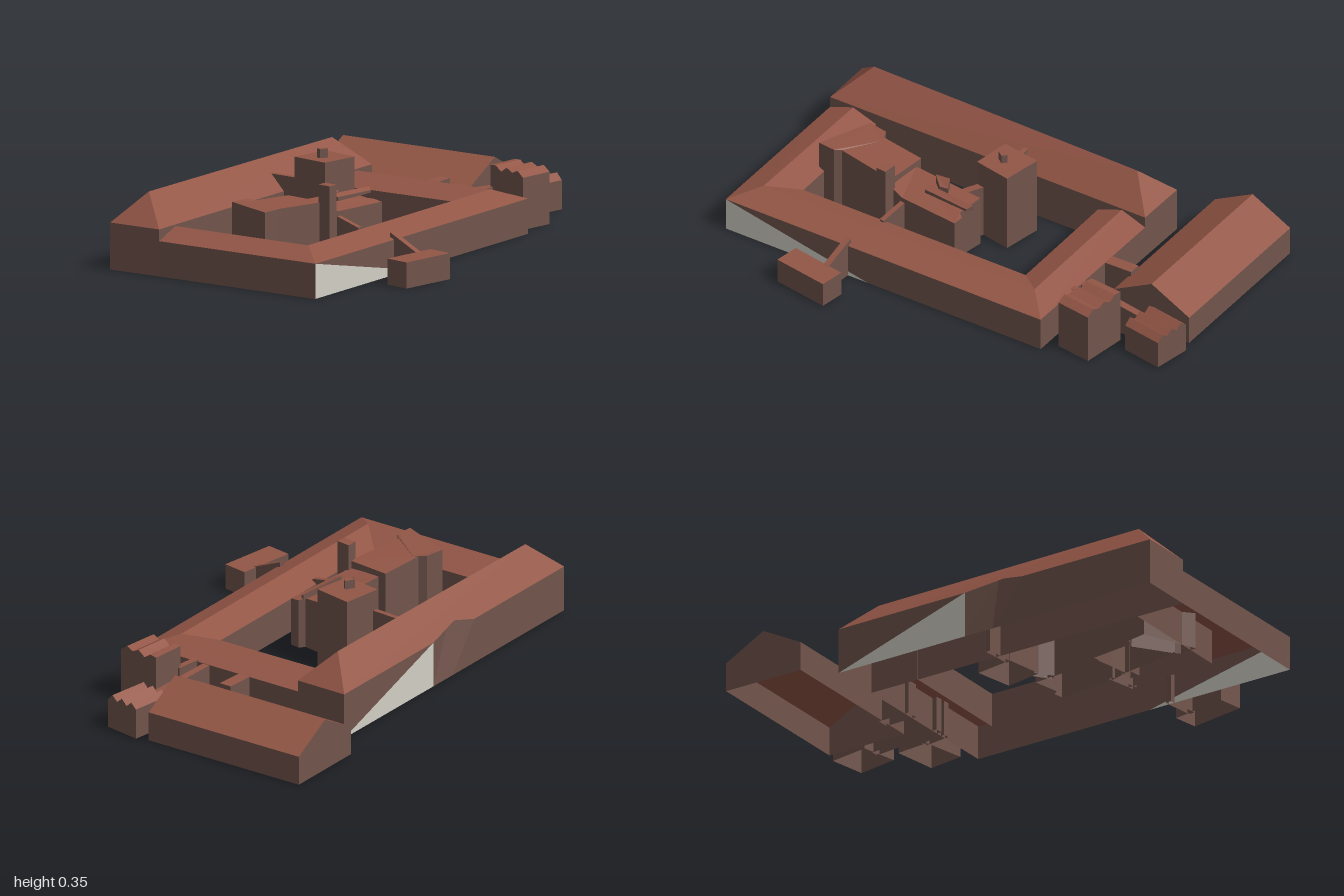
import * as THREE from 'three';

const material = (name, color) => {
  const m = new THREE.MeshStandardMaterial({ color, side: THREE.DoubleSide });
  m.name = name;
  return m;
};

export function createModel() {
  const model = new THREE.Group();
  const roofMat = material('roof red', 0x935646);
  const wallMat = material('wall brown', 0x71544b);
  const paleMat = material('pale plaster', 0xd2cfc5);

  // Flat-shaded mesh from convex polygons, each a list of [x, y, z]
  function faces(name, mat, polys, parent = model) {
    const pos = [];
    for (const p of polys)
      for (let i = 1; i < p.length - 1; i++) pos.push(...p[0], ...p[i], ...p[i + 1]);
    const g = new THREE.BufferGeometry();
    g.setAttribute('position', new THREE.Float32BufferAttribute(pos, 3));
    g.computeVertexNormals();
    const mesh = new THREE.Mesh(g, mat);
    mesh.name = name;
    parent.add(mesh);
  }
  const group = (name) => {
    const g = new THREE.Group();
    g.name = name;
    model.add(g);
    return g;
  };
  const at = ([x, z], y = 0) => [x, y, z];
  const mix = (p, q, t) => p.map((v, i) => v + (q[i] - v) * t);

  // Open-bottomed block on a footprint listed clockwise from above;
  // h is one height or a height per corner
  function block(name, foot, h, base = 0) {
    const g = group(name);
    const hs = foot.map((_, i) => (Array.isArray(h) ? h[i] : h));
    const n = foot.length;
    faces(name + 'Walls', wallMat, foot.map((p, i) => {
      const j = (i + 1) % n, q = foot[j];
      return [at(q, base), at(p, base), at(p, hs[i]), at(q, hs[j])];
    }), g);
    const contour = foot.map(([x, z]) => new THREE.Vector2(x, z));
    const tris = THREE.ShapeUtils.triangulateShape(contour, []);
    faces(name + 'Top', roofMat, tris.map((t) => {
      const [a, b, c] = t.map((k) => foot[k]);
      const up = (b[0] - a[0]) * (c[1] - a[1]) - (b[1] - a[1]) * (c[0] - a[0]) < 0;
      const order = up ? t : [t[0], t[2], t[1]];
      return order.map((k) => at(foot[k], hs[k]));
    }), g);
  }

  // Thin passage between two points, height running from h0 to h1
  function passage(name, p, q, width, h0, h1) {
    const dx = q[0] - p[0], dz = q[1] - p[1], l = Math.hypot(dx, dz);
    const ox = (-dz / l) * width / 2, oz = (dx / l) * width / 2;
    block(name, [[p[0] - ox, p[1] - oz], [q[0] - ox, q[1] - oz],
      [q[0] + ox, q[1] + oz], [p[0] + ox, p[1] + oz]], [h0, h1, h1, h0]);
  }

  // Block whose roof is folded into ridges running from left to right
  function ridgedBlock(name, [a, b, c, d], heights) {
    const g = group(name), walls = [], roof = [];
    const n = heights.length - 1;
    for (let i = 0; i < n; i++) {
      const [l0, l1] = [mix(a, d, i / n), mix(a, d, (i + 1) / n)];
      const [r0, r1] = [mix(b, c, i / n), mix(b, c, (i + 1) / n)];
      const [h0, h1] = [heights[i], heights[i + 1]];
      roof.push([at(l0, h0), at(l1, h1), at(r1, h1), at(r0, h0)]);
      walls.push([at(l0), at(l1), at(l1, h1), at(l0, h0)]);
      walls.push([at(r1), at(r0), at(r0, h0), at(r1, h1)]);
    }
    walls.push([at(b), at(a), at(a, heights[0]), at(b, heights[0])]);
    walls.push([at(d), at(c), at(c, heights[n]), at(d, heights[n])]);
    faces(name + 'Walls', wallMat, walls, g);
    faces(name + 'Roof', roofMat, roof, g);
  }

  // Tall back wing: hipped roof with a small notch in the rear eave
  const A = [-1, -0.14], B = [0.345, -0.575], E = [0.41, -0.37], F = [-0.93, 0.07];
  const R1 = [-0.86, -0.085], R2 = [0.275, -0.44];
  const K1 = [-0.2, -0.399], K2 = [-0.32, -0.33], K3 = [-0.45, -0.318], K2foot = [-0.32, -0.36];
  const eave = 0.18, top = 0.29;
  const back = group('backWing');
  faces('backWingRoof', roofMat, [
    [at(R1, top), at(R2, top), at(B, eave), at(K1, eave), at(K2, 0.212), at(K3, eave), at(A, eave)],
    [at(A, eave), at(F, eave), at(R1, top)],
    [at(F, eave), at(E, eave), at(R2, top), at(R1, top)],
    [at(E, eave), at(B, eave), at(R2, top)],
  ], back);
  faces('backWingWalls', wallMat, [
    [at(B), at(K1, eave), at(B, eave)],
    [at(K1), at(K2foot), at(K2, 0.212), at(K1, eave)],
    [at(K2foot), at(K3), at(K3, eave), at(K2, 0.212)],
    [at(K3), at(A), at(A, eave), at(K3, eave)],
    [at(A), at(F), at(F, eave), at(A, eave)],
    [at(F), at(E), at(E, eave), at(F, eave)],
    [at(E), at(B), at(B, eave), at(E, eave)],
  ], back);
  faces('backPalePanel', paleMat, [[at(B), at(K1), at(K1, eave)]], back);

  // Three lower wings closing the courtyard
  const outer = [F, [-0.71, 0.745], [0.63, 0.305], E];
  const ridge = [[-0.83, 0.04], [-0.645, 0.615], [0.505, 0.235], [0.31, -0.34]];
  const inner = [[-0.735, 0.005], [-0.575, 0.48], [0.37, 0.17], [0.21, -0.305]];
  const low = 0.135, peak = 0.175;
  ['leftWing', 'frontWing', 'rightWing'].forEach((name, i) => {
    const g = group(name), j = i + 1;
    const [p, q] = [outer[i], outer[j]];
    faces(name + 'Roof', roofMat, [
      [at(p, low), at(q, low), at(ridge[j], peak), at(ridge[i], peak)],
      [at(ridge[i], peak), at(ridge[j], peak), at(inner[j], low), at(inner[i], low)],
    ], g);
    const walls = [[at(inner[j]), at(inner[i]), at(inner[i], low), at(inner[j], low)]];
    if (name === 'frontWing') {
      const m = mix(p, q, 0.45);
      walls.push([at(m), at(q), at(q, low), at(p, low)]);
      faces('frontPalePanel', paleMat, [[at(p), at(m), at(p, low)]], g);
    } else walls.push([at(p), at(q), at(q, low), at(p, low)]);
    faces(name + 'Walls', wallMat, walls, g);
  });

  // Gabled barn
  const [b0, b1, b2, b3] = [[0.41, -0.705], [0.73, -0.81], [0.945, -0.155], [0.625, -0.05]];
  const g0 = mix(b0, b1, 0.5), g1 = mix(b3, b2, 0.5), be = 0.115, bt = 0.205;
  const barn = group('barn');
  faces('barnRoof', roofMat, [
    [at(b0, be), at(b3, be), at(g1, bt), at(g0, bt)],
    [at(g0, bt), at(g1, bt), at(b2, be), at(b1, be)],
  ], barn);
  faces('barnWalls', wallMat, [
    [at(b1), at(b0), at(b0, be), at(g0, bt), at(b1, be)],
    [at(b3), at(b2), at(b2, be), at(g1, bt), at(b3, be)],
    [at(b0), at(b3), at(b3, be), at(b0, be)],
    [at(b2), at(b1), at(b1, be), at(b2, be)],
  ], barn);

  // Outbuildings beside and before the courtyard
  ridgedBlock('sideTower', [[0.635, 0.065], [0.77, 0.035], [0.8, 0.215], [0.655, 0.24]],
    [0.222, 0.225, 0.205, 0.225, 0.21, 0.222, 0.2]);
  ridgedBlock('sideShed', [[0.815, -0.09], [0.975, -0.115], [0.995, 0.035], [0.83, 0.06]],
    [0.12, 0.14, 0.118, 0.14, 0.118, 0.138, 0.112]);
  block('frontHut', [[-0.34, 0.705], [-0.11, 0.67], [-0.095, 0.77], [-0.325, 0.805]], 0.1);

  // Courtyard tower with its cap
  block('courtTower', [[-0.135, -0.135], [0.025, -0.16], [0.045, 0], [-0.11, 0.02]], 0.32);
  block('towerCap', [[-0.075, -0.075], [-0.035, -0.065], [-0.045, -0.045], [-0.075, -0.055]], 0.355, 0.32);

  // Long courtyard house in three sections with a chimney
  block('houseLeftEnd', [[-0.625, 0.12], [-0.545, 0.11], [-0.51, 0.15], [-0.56, 0.31],
    [-0.575, 0.335], [-0.645, 0.35]], [0.255, 0.255, 0.25, 0.25, 0.255, 0.255]);
  block('houseMiddle', [[-0.53, 0.135], [-0.345, 0.1], [-0.31, 0.275], [-0.57, 0.31]],
    [0.25, 0.24, 0.24, 0.25]);
  block('houseRight', [[-0.335, 0.13], [-0.04, 0.06], [-0.025, 0.17], [0, 0.18], [0.005, 0.22],
    [-0.24, 0.275], [-0.315, 0.275]], [0.22, 0.21, 0.2, 0.195, 0.19, 0.195, 0.21]);
  block('chimney', [[-0.335, 0.275], [-0.295, 0.265], [-0.285, 0.32], [-0.325, 0.33]], 0.31);
  block('roofLantern', [[-0.22, 0.13], [-0.16, 0.11], [-0.135, 0.14], [-0.165, 0.155]],
    [0.25, 0.255, 0.235, 0.235], 0.19);
  block('roofSlab', [[-0.2, 0.18], [0.01, 0.135], [0, 0.16], [-0.19, 0.205]],
    [0.24, 0.235, 0.225, 0.23], 0.215);

  // Thin passages joining the buildings
  passage('barnPassage', [0.47, -0.13], [0.6, -0.17], 0.05, 0.135, 0.14);
  passage('shedPassage', [0.52, 0.035], [0.83, -0.03], 0.03, 0.135, 0.115);
  passage('sideTowerPassage', [0.54, 0.085], [0.65, 0.065], 0.025, 0.14, 0.14);
  passage('frontHutPassage', [-0.205, 0.56], [-0.18, 0.69], 0.025, 0.16, 0.1);
  passage('housePassage', [-0.24, 0.26], [-0.225, 0.385], 0.02, 0.18, 0.15);
  passage('towerHousePassage', [-0.09, 0.01], [-0.115, 0.085], 0.03, 0.22, 0.21);
  passage('towerBackPassage', [-0.15, -0.25], [-0.12, -0.13], 0.02, 0.24, 0.24);

  return model;
}
